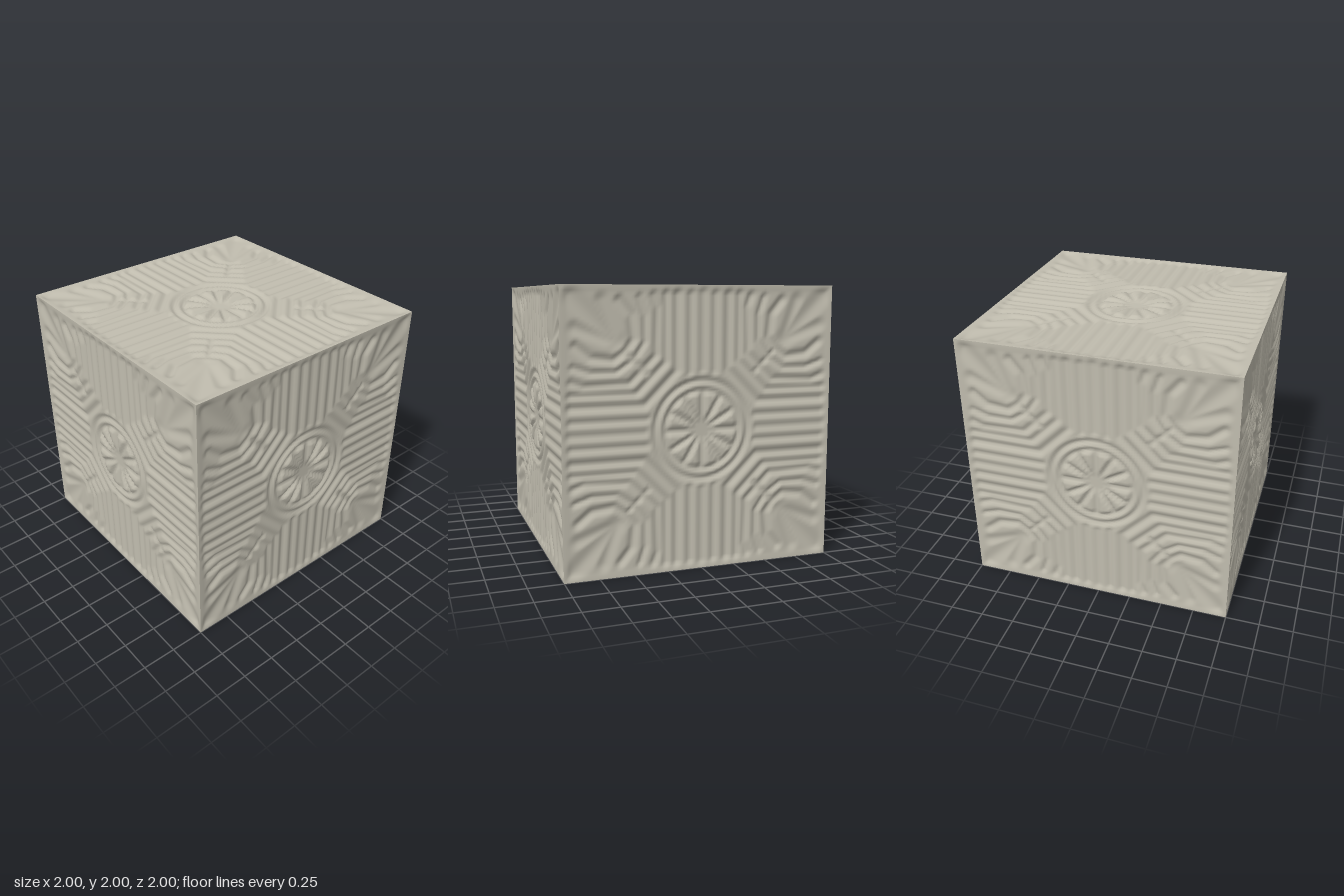
import * as THREE from 'three';

// Grooves of one eighth of a panel: [half width, depth, x, y, x, y, ...]; the rest is mirrored.
const GROOVES = [
  [0.035, 0.014, 1, 0.0, 0.42, 0.0],
  [0.03, 0.016, 0.94, 0.09, 0.4, 0.09],
  [0.035, 0.02, 0.94, 0.19, 0.42, 0.19, 0.3, 0.31],
  [0.03, 0.018, 0.94, 0.27, 0.48, 0.27, 0.375, 0.375],
  [0.03, 0.018, 0.93, 0.36, 0.85, 0.33, 0.6, 0.34, 0.53, 0.34, 0.435, 0.435],
  [0.025, 0.018, 0.92, 0.46, 0.8, 0.42, 0.62, 0.42, 0.5, 0.5],
  [0.025, 0.018, 0.4, 0.4, 0.56, 0.56],
  [0.035, 0.02, 0.56, 0.56, 0.64, 0.5, 0.8, 0.52, 0.9, 0.6],
  [0.05, 0.016, 0.62, 0.62, 0.9, 0.72],
  [0.07, 0.016, 0.62, 0.62, 0.93, 0.93],
];

function segmentDistance(x, y, ax, ay, bx, by) {
  const dx = bx - ax, dy = by - ay;
  const t = THREE.MathUtils.clamp(((x - ax) * dx + (y - ay) * dy) / (dx * dx + dy * dy), 0, 1);
  return Math.hypot(x - ax - t * dx, y - ay - t * dy);
}

// Soft bump that is 1 at distance 0 and 0 at distance w
const bump = (d, w) => 1 - THREE.MathUtils.smoothstep(d, 0, w);

// Round medallion: twelve raised petals inside two rings
function medallion(r, angle) {
  const step = Math.PI / 6;
  const local = ((angle % step) + step) % step;
  const side = r * Math.sin(Math.min(local, step - local));
  const petal = THREE.MathUtils.smoothstep(side, 0.008, 0.03)
    * THREE.MathUtils.smoothstep(r, 0.04, 0.1)
    * (1 - THREE.MathUtils.smoothstep(r, 0.245, 0.275));
  const rings = bump(Math.abs(r - 0.31), 0.035) + bump(Math.abs(r - 0.385), 0.04);
  return -0.026 + 0.022 * petal + 0.02 * rings;
}

// Height of the carved panel relative to the cube face
function relief(u, v) {
  const x = Math.max(Math.abs(u), Math.abs(v));
  const y = Math.min(Math.abs(u), Math.abs(v));
  const r = Math.hypot(u, v);
  let carve = 0;
  for (const [w, depth, ...p] of GROOVES) {
    let d = Infinity;
    for (let i = 0; i + 3 < p.length; i += 2) {
      d = Math.min(d, segmentDistance(x, y, p[i], p[i + 1], p[i + 2], p[i + 3]));
    }
    carve = Math.max(carve, depth * bump(d, w * 1.4));
  }
  const mix = THREE.MathUtils.smoothstep(r, 0.37, 0.42);
  const h = THREE.MathUtils.lerp(medallion(r, Math.atan2(v, u)), -0.004 - carve, mix);
  // Flat rim along the cube edges
  return h * (1 - THREE.MathUtils.smoothstep(x, 0.95, 0.99));
}

function panelGeometry() {
  const geometry = new THREE.PlaneGeometry(2, 2, 108, 108);
  const pos = geometry.attributes.position;
  for (let i = 0; i < pos.count; i++) {
    pos.setZ(i, 1 + relief(pos.getX(i), pos.getY(i)));
  }
  geometry.computeVertexNormals();
  return geometry;
}

export function createModel() {
  const model = new THREE.Group();
  model.name = 'carvedStoneCube';
  const stone = new THREE.MeshStandardMaterial({ color: 0xc0bcae });
  stone.name = 'pale stone';
  const geometry = panelGeometry();
  const q = Math.PI / 2;
  // One carved panel turned to each side of the cube
  const panels = {
    frontPanel: [0, 0], leftPanel: [0, q], backPanel: [0, 2 * q], rightPanel: [0, -q],
    topPanel: [-q, 0], bottomPanel: [q, 0],
  };
  for (const [name, [rx, ry]] of Object.entries(panels)) {
    const panel = new THREE.Mesh(geometry, stone);
    panel.name = name;
    panel.rotation.set(rx, ry, 0);
    panel.position.y = 1;
    model.add(panel);
  }
  return model;
}
